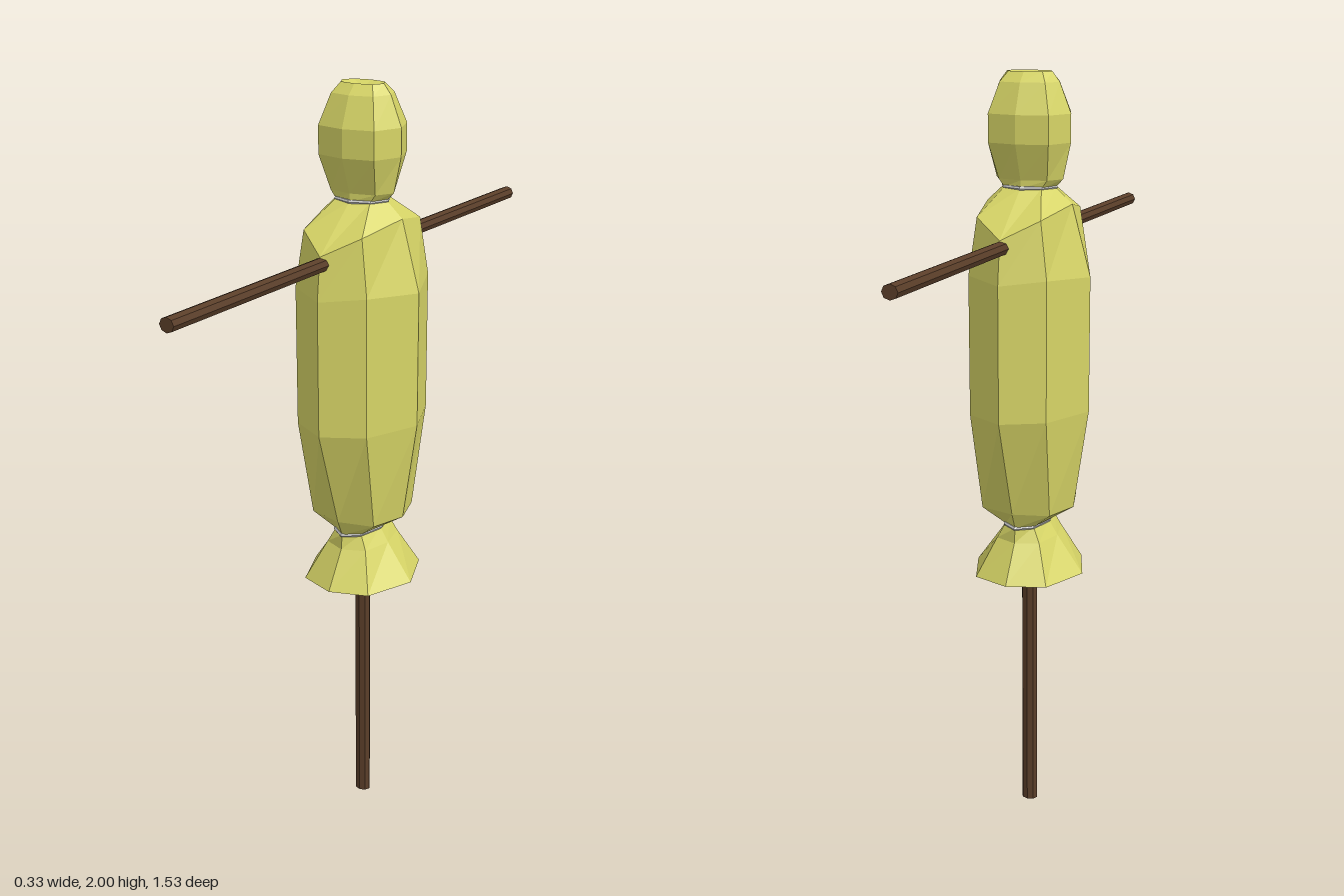
import * as THREE from 'three';

const cloth = new THREE.MeshStandardMaterial({ color: 0xd6d466, flatShading: true, side: THREE.DoubleSide });
const wood = new THREE.MeshStandardMaterial({ color: 0x5a3e29, flatShading: true });
const cord = new THREE.MeshStandardMaterial({ color: 0xcccccc, flatShading: true });

// Lofts eight-sided rings, listed bottom to top.
// Ring: [y, side x, corner x, corner z, front z, front y, corner y]
function loft(name, rings, capDip) {
  const pos = [], index = [];
  for (const [y, sx, cx, cz, fz, fy = y, cy = y] of rings) {
    pos.push(sx, y, 0, cx, cy, cz, 0, fy, fz, -cx, cy, cz,
      -sx, y, 0, -cx, cy, -cz, 0, fy, -fz, cx, cy, -cz);
  }
  for (let r = 0; r < rings.length - 1; r++) {
    for (let i = 0; i < 8; i++) {
      const a = r * 8 + i, b = r * 8 + (i + 1) % 8;
      index.push(a, a + 8, b, b, a + 8, b + 8);
    }
  }
  // closing fan on the top ring
  if (capDip !== undefined) {
    const base = (rings.length - 1) * 8;
    pos.push(0, rings.at(-1)[0] - capDip, 0);
    for (let i = 0; i < 8; i++) index.push(base + i, base + 8, base + (i + 1) % 8);
  }
  const indexed = new THREE.BufferGeometry();
  indexed.setAttribute('position', new THREE.Float32BufferAttribute(pos, 3));
  indexed.setIndex(index);
  const g = indexed.toNonIndexed();
  g.computeVertexNormals();
  const mesh = new THREE.Mesh(g, cloth);
  mesh.name = name;
  return mesh;
}

function pole(name, length, rx, rz) {
  const mesh = new THREE.Mesh(new THREE.CylinderGeometry(1, 1, length, 8), wood);
  mesh.scale.set(rx, 1, rz);
  mesh.name = name;
  return mesh;
}

function tie(name, y, rx, rz) {
  const g = new THREE.TorusGeometry(1, 0.08, 6, 8);
  g.rotateX(Math.PI / 2);
  const mesh = new THREE.Mesh(g, cord);
  mesh.scale.set(rx, 0.07, rz);
  mesh.position.y = y;
  mesh.name = name;
  return mesh;
}

export function createModel() {
  const model = new THREE.Group();
  model.name = 'scarecrow';

  // wooden cross
  const upright = pole('uprightPole', 1.6, 0.022, 0.018);
  upright.position.y = 0.8;
  const arms = pole('crossPole', 1.53, 0.02, 0.018);
  arms.rotation.x = Math.PI / 2;
  arms.position.y = 1.59;
  model.add(upright, arms);

  // flared sack hem, open below
  model.add(loft('hem', [
    [0.70, 0.152, 0.10, 0.13, 0.165],
    [0.80, 0.08, 0.06, 0.08, 0.105],
    [0.84, 0.055, 0.04, 0.07, 0.10]
  ]));

  // stuffed body
  model.add(loft('body', [
    [0.84, 0.055, 0.04, 0.07, 0.10],
    [0.885, 0.125, 0.095, 0.095, 0.12],
    [1.15, 0.165, 0.105, 0.145, 0.203],
    [1.50, 0.165, 0.105, 0.145, 0.203, 1.50, 1.51],
    [1.68, 0.115, 0.085, 0.135, 0.19, 1.61, 1.655],
    [1.72, 0.07, 0.05, 0.045, 0.06]
  ]));

  // stuffed head with a slightly sunken crown
  model.add(loft('head', [
    [1.72, 0.07, 0.05, 0.045, 0.06],
    [1.74, 0.09, 0.065, 0.045, 0.06],
    [1.83, 0.11, 0.08, 0.075, 0.092],
    [1.90, 0.11, 0.08, 0.075, 0.092],
    [1.975, 0.08, 0.06, 0.048, 0.062],
    [2.00, 0.06, 0.045, 0.028, 0.037]
  ], 0.015));

  // cords gathering the cloth
  model.add(tie('neckTie', 1.72, 0.07, 0.062), tie('waistTie', 0.84, 0.056, 0.10));
  return model;
}
